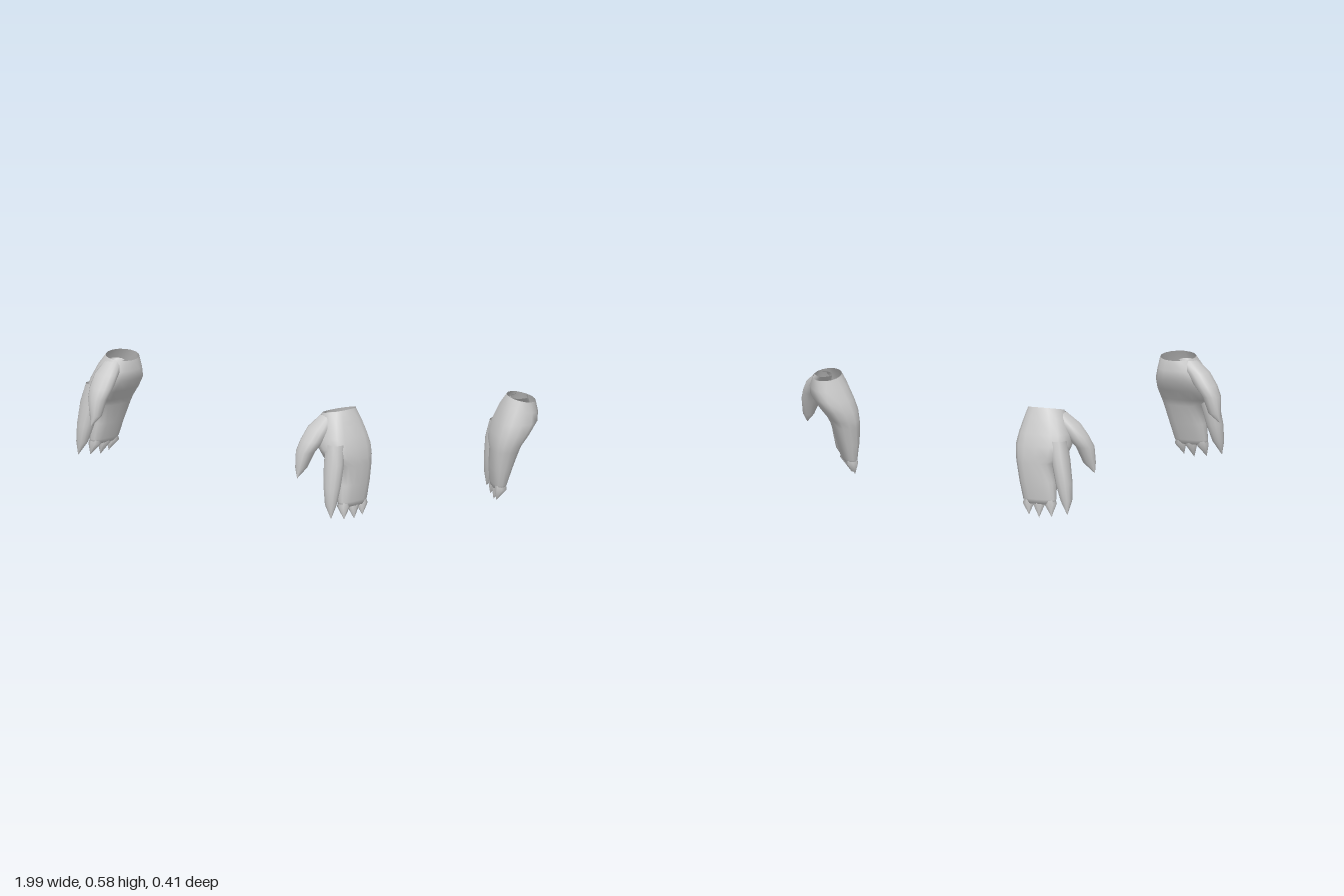
import * as THREE from 'three';

const material = new THREE.MeshStandardMaterial({ color: 0xcccccc, side: THREE.DoubleSide });

// Skin through horizontal rounded cross-sections, listed from top to bottom.
// Section: [y, xMin, xMax, zMin, zMax, squareness = 0.8, slope of y along x = 0]
function loft(name, sections, side, sides = 12) {
  const pos = [], index = [];
  const bend = (v, e) => Math.sign(v) * Math.abs(v) ** e;
  for (const [y, x0, x1, z0, z1, e = 0.8, slope = 0] of sections) {
    for (let j = 0; j < sides; j++) {
      const t = (j / sides) * Math.PI * 2;
      const dx = bend(Math.cos(t), e) * (x1 - x0) / 2;
      const dz = bend(Math.sin(t), e) * (z1 - z0) / 2;
      pos.push(side * (x0 + x1) / 2 + dx, y + side * slope * dx, (z0 + z1) / 2 + dz);
    }
  }
  for (let i = 0; i < sections.length - 1; i++) {
    for (let j = 0; j < sides; j++) {
      const a = i * sides + j, b = i * sides + (j + 1) % sides;
      index.push(a, b, a + sides, b, b + sides, a + sides);
    }
  }
  const geo = new THREE.BufferGeometry();
  geo.setAttribute('position', new THREE.Float32BufferAttribute(pos, 3));
  geo.setIndex(index);
  geo.computeVertexNormals();
  const mesh = new THREE.Mesh(geo, material);
  mesh.name = name;
  return mesh;
}

// Zero-size section that closes a skin in a point
const point = (x, y, z) => [y, x, x, z, z];

function createHand(side) {
  const hand = new THREE.Group();
  hand.name = side > 0 ? 'leftHand' : 'rightHand';

  // Open wrist, palm and the three joined fingers
  hand.add(loft('palm', [
    [0.57, 0.755, 0.905, -0.17, 0.028, 1, 0.2],
    [0.515, 0.745, 0.935, -0.182, 0.055, 0.8, 0.15],
    [0.45, 0.752, 0.967, -0.197, 0.08, 0.7],
    [0.39, 0.79, 0.988, -0.205, 0.094, 0.75],
    [0.335, 0.832, 0.995, -0.198, 0.08, 0.75],
    [0.3, 0.85, 0.997, -0.19, 0.025],
    [0.2, 0.885, 0.997, -0.167, 0.036, 0.75],
    [0.11, 0.913, 0.989, -0.145, 0.042, 0.75],
    [0.085, 0.925, 0.984, -0.132, 0.035],
    point(0.955, 0.085, -0.05),
  ], side, 16));

  // Separate forefinger
  hand.add(loft('forefinger', [
    [0.42, 0.87, 0.97, -0.01, 0.085],
    [0.32, 0.877, 0.99, 0.018, 0.107],
    [0.2, 0.9, 0.991, 0.045, 0.128],
    [0.11, 0.922, 0.985, 0.075, 0.132],
    point(0.97, 0.035, 0.117),
  ], side));

  // Curved thumb, its root sunk in the palm
  hand.add(loft('thumb', [
    [0.555, 0.78, 0.87, -0.06, 0.035],
    [0.495, 0.75, 0.88, 0, 0.108],
    [0.43, 0.743, 0.87, 0.045, 0.155],
    [0.375, 0.745, 0.848, 0.095, 0.184],
    [0.29, 0.758, 0.815, 0.127, 0.192],
    point(0.789, 0.235, 0.192),
  ], side));

  // Pointed tips of the joined fingers: [zMin, zMax, tip y, tip z]
  const tips = [[-0.02, 0.044, 0.02, 0.027], [-0.088, -0.02, 0.012, -0.045], [-0.145, -0.085, 0.023, -0.104]];
  for (const [z0, z1, y, z] of tips) {
    hand.add(loft('fingertip', [
      [0.14, 0.93, 0.975, z0 + 0.02, z1 - 0.02],
      [0.085, 0.92, 0.986, z0, z1],
      point(0.973, y, z),
    ], side, 8));
  }

  // The two hands are held slightly out of line
  if (side < 0) hand.position.set(0, -0.012, 0.013);
  return hand;
}

export function createModel() {
  const model = new THREE.Group();
  model.name = 'pairOfHands';
  for (const side of [1, -1]) model.add(createHand(side));
  return model;
}
